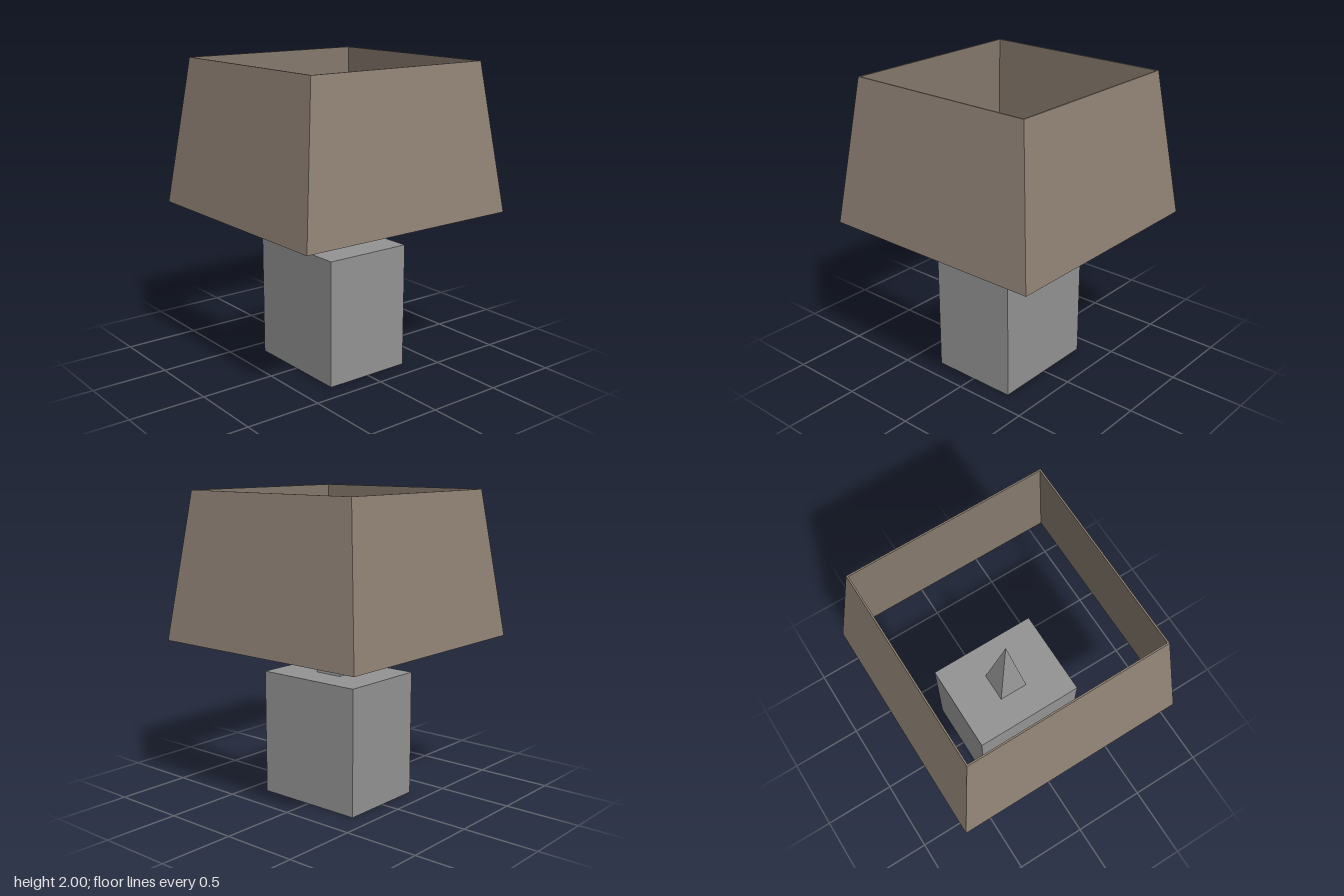
import * as THREE from 'three';

// Four-sided flat-faced solid turned from [halfWidth, y] points, listed outside upward
function squareLathe(points) {
  const profile = points.map(([half, y]) => new THREE.Vector2(half * Math.SQRT2, y));
  const geometry = new THREE.LatheGeometry(profile, 4).rotateY(Math.PI / 4).toNonIndexed();
  geometry.computeVertexNormals();
  return geometry;
}

export function createModel() {
  const lamp = new THREE.Group();
  lamp.name = 'tableLamp';

  const stone = new THREE.MeshStandardMaterial({ color: 0x949494 });
  stone.name = 'grey base';
  const fabric = new THREE.MeshStandardMaterial({ color: 0x908275 });
  fabric.name = 'taupe shade';

  const add = (name, geometry, material, y = 0) => {
    const mesh = new THREE.Mesh(geometry, material);
    mesh.name = name;
    mesh.position.y = y;
    lamp.add(mesh);
  };

  // Block base, slightly wider than deep
  add('base', new THREE.BoxGeometry(0.746, 0.825, 0.598), stone, 0.4125);

  // Pyramid stem rising into the shade
  add('stem', squareLathe([[0, 0.825], [0.098, 0.825], [0, 1.41]]), stone);

  // Open tapered shade: outer wall, top rim, inner wall
  add('shade', squareLathe([[0.772, 1.05], [0.647, 2], [0.637, 2], [0.768, 1.05], [0.772, 1.05]]), fabric);

  return lamp;
}
